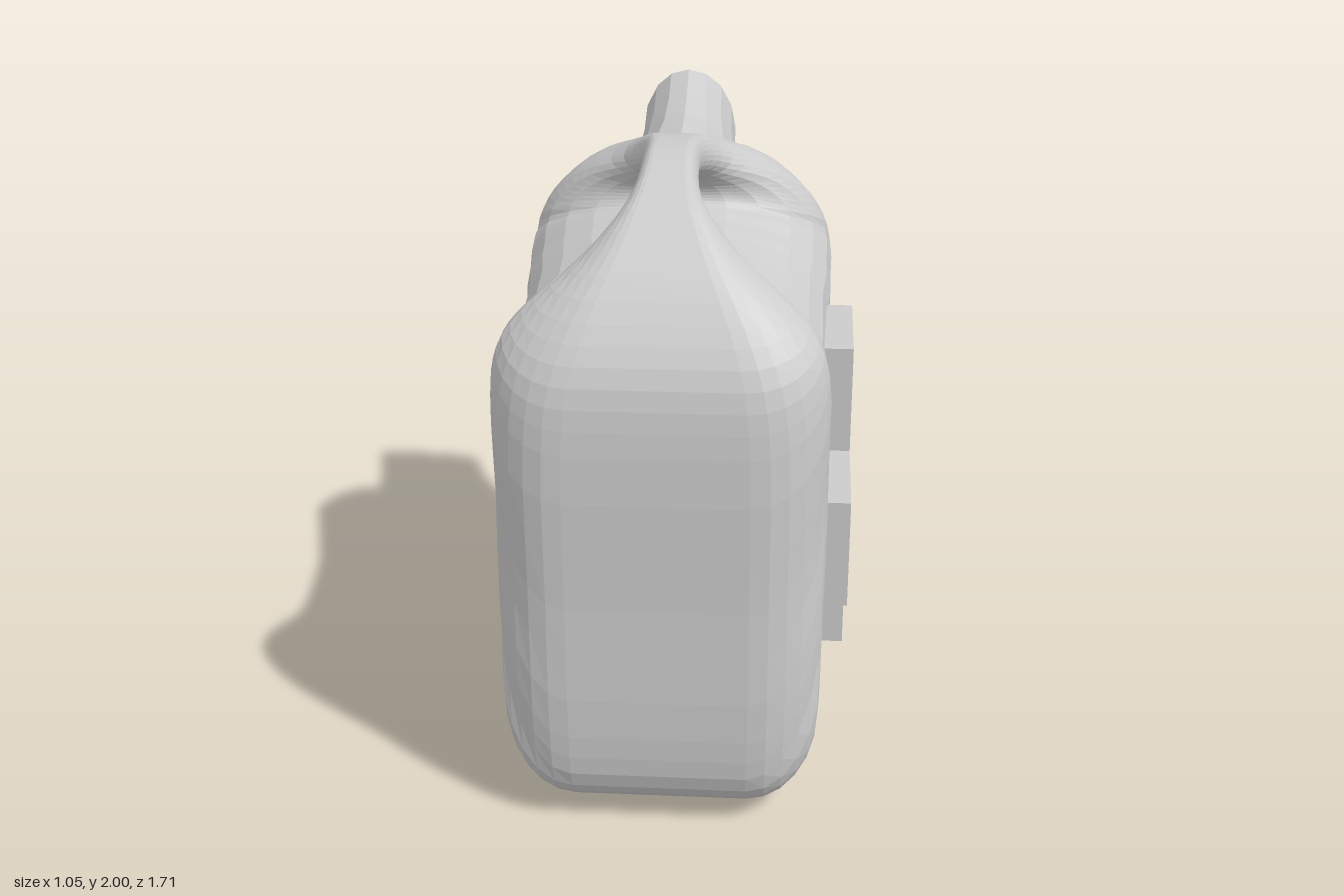
import * as THREE from 'three';

const material = new THREE.MeshStandardMaterial({ color: 0xcccccc, flatShading: true });
const CENTRE_X = -0.035;

// Skin a list of closed rings of Vector3; optionally join the last ring to the first
function loft(rings, closed) {
  const n = rings[0].length, m = rings.length;
  const positions = rings.flat().flatMap((p) => [p.x, p.y, p.z]);
  const index = [];
  for (let u = 0; u < (closed ? m : m - 1); u++) {
    for (let v = 0; v < n; v++) {
      const u1 = (u + 1) % m, v1 = (v + 1) % n;
      const a = u * n + v, b = u1 * n + v, c = u1 * n + v1, d = u * n + v1;
      index.push(a, b, c, a, c, d);
    }
  }
  const geometry = new THREE.BufferGeometry();
  geometry.setAttribute('position', new THREE.Float32BufferAttribute(positions, 3));
  geometry.setIndex(index);
  geometry.computeVertexNormals();
  return geometry;
}

function addMesh(group, name, geometry) {
  const mesh = new THREE.Mesh(geometry, material);
  mesh.name = name;
  group.add(mesh);
  return mesh;
}

const closedCurve = (points) => new THREE.CatmullRomCurve3(points, true);

// Side outline of the can: z, y, half-width (handle top, front, bottom, back)
const OUTLINE = [
  [0.2, 2, 0.085], [0.45, 1.95, 0.11], [0.62, 1.82, 0.22], [0.75, 1.66, 0.36],
  [0.83, 1.5, 0.45], [0.855, 1.3, 0.485], [0.855, 0.8, 0.49], [0.855, 0.35, 0.49],
  [0.82, 0.15, 0.485], [0.7, 0.04, 0.48], [0.5, 0.005, 0.48], [0.1, 0, 0.48],
  [-0.3, 0.005, 0.48], [-0.48, 0.04, 0.48], [-0.6, 0.15, 0.485], [-0.64, 0.35, 0.49],
  [-0.65, 0.8, 0.49], [-0.64, 1.2, 0.49], [-0.61, 1.42, 0.475], [-0.55, 1.62, 0.42],
  [-0.42, 1.8, 0.32], [-0.2, 1.91, 0.17], [0, 1.98, 0.1],
];
// Handle hole, matched point by point to the outline: z, y
const HOLE = [
  [0.2, 1.885], [0.35, 1.84], [0.44, 1.77], [0.49, 1.71], [0.49, 1.67], [0.47, 1.65],
  [0.43, 1.645], [0.38, 1.64], [0.34, 1.64], [0.3, 1.64], [0.25, 1.64], [0.15, 1.65],
  [0.08, 1.66], [0.05, 1.665], [0.02, 1.67], [-0.01, 1.68], [-0.05, 1.69], [-0.08, 1.705],
  [-0.11, 1.72], [-0.12, 1.745], [-0.11, 1.775], [-0.06, 1.82], [0.05, 1.865],
];

// Body and handle: cross-sections swept once around the handle hole
function bodyGeometry() {
  const outer = closedCurve(OUTLINE.map(([z, y, w]) => new THREE.Vector3(w, y, z)));
  const inner = closedCurve(HOLE.map(([z, y]) => new THREE.Vector3(0.04, y, z)));
  const segments = OUTLINE.length * 3, steps = 6;
  const rings = [];

  for (let i = 0; i < segments; i++) {
    const t = i / segments;
    const o = outer.getPoint(t), h = inner.getPoint(t);
    const width = o.x;
    const ray = new THREE.Vector3(0, h.y - o.y, h.z - o.z);
    const length = ray.length();
    ray.normalize();
    // Rounding depth along the ray for a given depth square to the curve
    const depth = (curve, radius) => {
      const tangent = curve.getTangent(t).setX(0).normalize();
      const slant = Math.max(0.5, tangent.cross(ray).length());
      return Math.min(radius / slant, length / 2);
    };
    const dOuter = depth(outer, 0.27), dInner = depth(inner, 0.28);
    const half = [];
    const put = (x, d) => half.push(new THREE.Vector3(x, o.y + ray.y * d, o.z + ray.z * d));

    const flat = width * 0.55;
    for (let k = 0; k <= steps; k++) {
      const a = (k / steps) * Math.PI / 2;
      put(flat + (width - flat) * Math.sin(a), dOuter * (1 - Math.cos(a)));
    }
    for (const f of [1 / 3, 2 / 3]) put(width, dOuter + (length - dOuter - dInner) * f);
    for (let k = steps; k >= 0; k--) {
      const a = (k / steps) * Math.PI / 2;
      put(h.x + (width - h.x) * Math.sin(a), length - dInner * (1 - Math.cos(a)));
    }
    const mirrored = half.map((p) => new THREE.Vector3(-p.x, p.y, p.z)).reverse();
    rings.push([...half, ...mirrored]);
  }
  return loft(rings, true);
}

// Spout: oval rings given by top (z, y), bottom (z, y) and half-width
function spoutGeometry() {
  const sections = [
    [-0.12, 1.88, -0.58, 1.05, 0.24],
    [-0.3, 1.893, -0.635, 1.2, 0.215],
    [-0.46, 1.905, -0.69, 1.37, 0.175],
    [-0.58, 1.94, -0.76, 1.485, 0.158],
    [-0.67, 1.985, -0.84, 1.555, 0.156],
    [-0.69, 1.99, -0.852, 1.575, 0.15],
    [-0.702, 1.968, -0.85, 1.6, 0.135],
    [-0.776, 1.784, -0.776, 1.784, 0],
  ];
  const sides = 16;
  return loft(sections.map(([zt, yt, zb, yb, w]) =>
    Array.from({ length: sides }, (_, i) => {
      const a = (i / sides) * Math.PI * 2, c = Math.cos(a) / 2;
      return new THREE.Vector3(
        -w * Math.sin(a), (yt + yb) / 2 + (yt - yb) * c, (zt + zb) / 2 + (zt - zb) * c);
    })), false);
}

// Raised cross plate for the left side
function crossGeometry() {
  const a = 0.175, b = 0.52;
  const corners = [
    [a, a], [a, b], [-a, b], [-a, a], [-b, a], [-b, -a],
    [-a, -a], [-a, -b], [a, -b], [a, -a], [b, -a], [b, a],
  ];
  const shape = new THREE.Shape(corners.map(([x, y]) => new THREE.Vector2(x, y)));
  return new THREE.ExtrudeGeometry(shape, { depth: 0.125, bevelEnabled: false }).rotateY(Math.PI / 2);
}

export function createModel() {
  const group = new THREE.Group();
  group.name = 'fuelCan';
  addMesh(group, 'bodyWithHandle', bodyGeometry()).position.x = CENTRE_X;
  addMesh(group, 'spout', spoutGeometry()).position.x = CENTRE_X;
  addMesh(group, 'crossPlate', crossGeometry()).position.set(0.4, 0.88, 0.1);
  return group;
}
